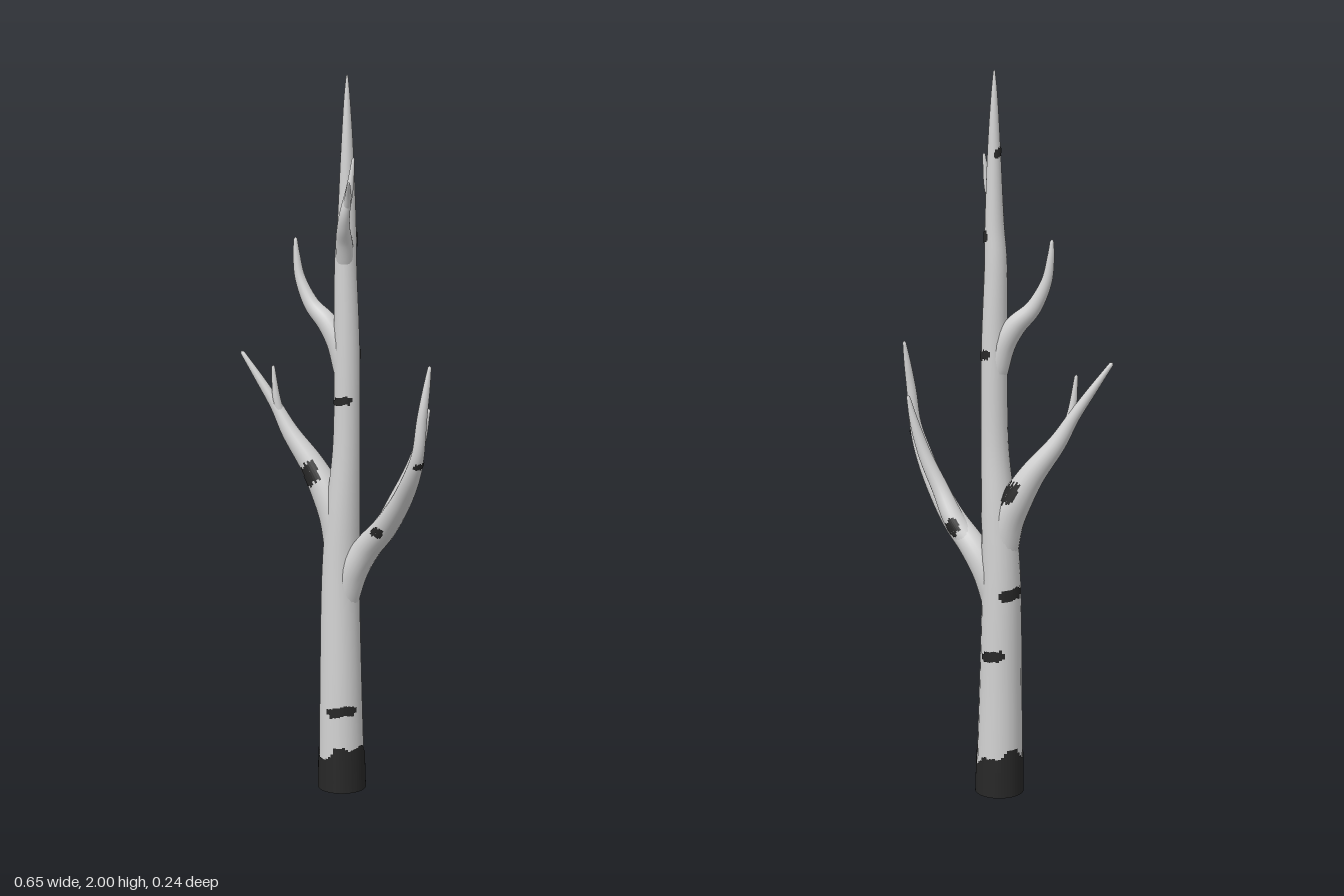
import * as THREE from 'three';

const SIDES = 20;
const bark = new THREE.MeshStandardMaterial({ color: 0xd2d2d2 });
bark.name = 'pale bark';
const dark = new THREE.MeshStandardMaterial({ color: 0x272727, side: THREE.DoubleSide });
dark.name = 'dark bark';

// Each limb is a list of [x, y, z, radius], from its root to its tip
const LIMBS = {
  trunk: [[-.014, 0, -.05, .066], [-.018, .3, -.051, .06], [-.022, .6, -.056, .054], [-.014, .8, -.056, .048],
    [-.002, 1, -.054, .038], [-.001, 1.25, -.054, .036], [-.005, 1.48, -.053, .031], [-.001, 1.6, -.052, .026],
    [0, 1.8, -.052, .017], [-.001, 1.93, -.053, .009], [-.001, 1.995, -.053, .003]],
  leftBranch: [[-.01, .54, -.054, .04], [.018, .63, -.053, .042], [.068, .705, -.045, .038], [.135, .772, -.018, .034],
    [.21, .86, .032, .028], [.265, .94, .077, .023], [.295, 1.01, .1, .017], [.306, 1.1, .102, .014],
    [.315, 1.18, .095, .01], [.321, 1.24, .088, .005]],
  leftTwig: [[.06, .7, -.05, .03], [.12, .765, -.04, .03], [.17, .85, -.022, .024], [.215, .94, -.02, .019],
    [.245, 1.03, -.024, .013], [.262, 1.108, -.03, .005]],
  rightBranch: [[-.025, .7, -.056, .044], [-.04, .78, -.058, .045], [-.07, .85, -.06, .043], [-.115, .925, -.058, .035],
    [-.18, 1.01, -.052, .025], [-.225, 1.085, -.048, .017], [-.275, 1.16, -.04, .012], [-.324, 1.232, -.03, .006]],
  rightTwig: [[-.18, 1.0, -.052, .016], [-.205, 1.045, -.048, .014], [-.22, 1.11, -.042, .011], [-.229, 1.195, -.04, .005]],
  upperBranch: [[-.008, 1.2, -.054, .032], [-.028, 1.27, -.054, .032], [-.062, 1.325, -.054, .029], [-.112, 1.375, -.054, .022],
    [-.148, 1.445, -.054, .015], [-.16, 1.51, -.054, .01], [-.163, 1.555, -.054, .005]],
  frontBranch: [[-.002, 1.5, -.044, .024], [.006, 1.55, -.024, .023], [.018, 1.59, .002, .018], [.03, 1.635, .016, .014],
    [.043, 1.7, .012, .01], [.05, 1.775, .006, .004]],
  frontTwig: [[.032, 1.64, .014, .011], [.047, 1.675, .03, .009], [.065, 1.712, .06, .004]],
};

// Surface of a limb: t runs along it, angle 0 faces the front and grows toward +x
function makeLimb(points) {
  const path = new THREE.CatmullRomCurve3(points.map(p => new THREE.Vector3(p[0], p[1], p[2])), false, 'catmullrom', .5);
  const girth = new THREE.CatmullRomCurve3(points.map(p => new THREE.Vector3(p[3], 0, 0)), false, 'catmullrom', .5);
  const at = (t, angle, lift = 0) => {
    const c = path.getPoint(t), tan = path.getTangent(t);
    if (points === LIMBS.trunk && t === 0) tan.set(0, 1, 0);
    const u = new THREE.Vector3(0, 0, 1).addScaledVector(tan, -tan.z).normalize();
    const w = new THREE.Vector3().crossVectors(tan, u);
    const r = girth.getPoint(t).x + lift;
    return c.addScaledVector(u, r * Math.cos(angle)).addScaledVector(w, r * Math.sin(angle));
  };
  const tAtHeight = y => {
    let lo = 0, hi = 1;
    for (let i = 0; i < 24; i++) {
      const mid = (lo + hi) / 2;
      if (path.getPoint(mid).y < y) lo = mid; else hi = mid;
    }
    return lo;
  };
  const tip = path.getPoint(1).addScaledVector(path.getTangent(1), .005);
  return { at, tAtHeight, tip, rings: (points.length - 1) * 6 };
}

function geometryFrom(positions, index) {
  const g = new THREE.BufferGeometry();
  g.setAttribute('position', new THREE.Float32BufferAttribute(positions, 3));
  g.setIndex(index);
  g.computeVertexNormals();
  return g;
}

// Tapered tube, closed at the tip
function limbGeometry({ at, tip, rings }) {
  const pos = [], idx = [];
  for (let i = 0; i <= rings; i++) {
    for (let j = 0; j < SIDES; j++) {
      pos.push(...at(i / rings, j / SIDES * Math.PI * 2).toArray());
      const a = i * SIDES + j, b = i * SIDES + (j + 1) % SIDES;
      if (i < rings) idx.push(a, b, b + SIDES, a, b + SIDES, a + SIDES);
      else idx.push(a, b, (rings + 1) * SIDES);
    }
  }
  pos.push(...tip.toArray());
  return geometryFrom(pos, idx);
}

// Thin bark mark made of stepped columns; bounds(k) gives the low and high y of column k (0 to 1)
function markGeometry(limb, from, to, columns, bounds) {
  const pos = [], idx = [], rows = 3;
  for (let c = 0; c < columns; c++) {
    const [low, high] = bounds((c + .5) / columns);
    const t0 = limb.tAtHeight(low), t1 = limb.tAtHeight(high), base = pos.length / 3;
    for (let r = 0; r <= rows; r++) {
      for (let s = 0; s < 2; s++) {
        const angle = THREE.MathUtils.degToRad(from + (to - from) * (c + s) / columns);
        pos.push(...limb.at(t0 + (t1 - t0) * r / rows, angle, .0025).toArray());
      }
      const a = base + r * 2;
      if (r < rows) idx.push(a, a + 1, a + 3, a, a + 3, a + 2);
    }
  }
  return geometryFrom(pos, idx);
}

// Marks: limb, middle height, first angle, last angle, height
const MARKS = [
  ['trunk', .235, -12, 72, .028],
  ['trunk', .41, 140, 210, .03],
  ['trunk', .585, 192, 268, .032],
  ['trunk', 1.115, -42, 50, .022],
  ['trunk', 1.245, 118, 182, .026],
  ['trunk', 1.56, 95, 160, .03],
  ['trunk', 1.785, 200, 275, .024],
  ['rightBranch', .905, -42, 42, .05],
  ['rightBranch', .86, 118, 182, .055],
  ['leftBranch', .775, -28, 28, .026],
  ['leftBranch', .985, 10, 105, .014],
  ['leftTwig', .755, 140, 215, .032],
];

export function createModel() {
  const tree = new THREE.Group();
  tree.name = 'bareTree';
  const add = (name, geometry, material) => {
    const mesh = new THREE.Mesh(geometry, material);
    mesh.name = name;
    tree.add(mesh);
    return mesh;
  };

  const limbs = {};
  for (const [name, points] of Object.entries(LIMBS)) {
    limbs[name] = makeLimb(points);
    add(name, limbGeometry(limbs[name]), bark);
  }

  let seed = 7;
  const random = () => (seed = (seed * 16807) % 2147483647) / 2147483647;

  // Dark foot of the trunk with a ragged upper edge
  add('trunkFoot', markGeometry(limbs.trunk, 0, 360, 48, k => {
    const a = k * Math.PI * 2;
    return [0, .115 + .016 * Math.sin(a * 2 - .2) + .01 * Math.sin(a * 5) + .01 * (random() - .5)];
  }), dark);
  const sole = add('trunkSole', new THREE.CircleGeometry(.0685, SIDES), dark);
  sole.rotation.x = Math.PI / 2;
  sole.position.set(-.014, 0, -.05);

  // Ragged bark marks
  for (const [name, y, from, to, height] of MARKS) {
    add('barkMark', markGeometry(limbs[name], from, to, 9, k => {
      const half = height / 2 * (Math.abs(k - .5) > .4 ? .55 : 1);
      const shift = (random() - .5) * height * .25 + (k - .5) * height * .3;
      return [y - half + shift, y + half + shift];
    }), dark);
  }
  return tree;
}
